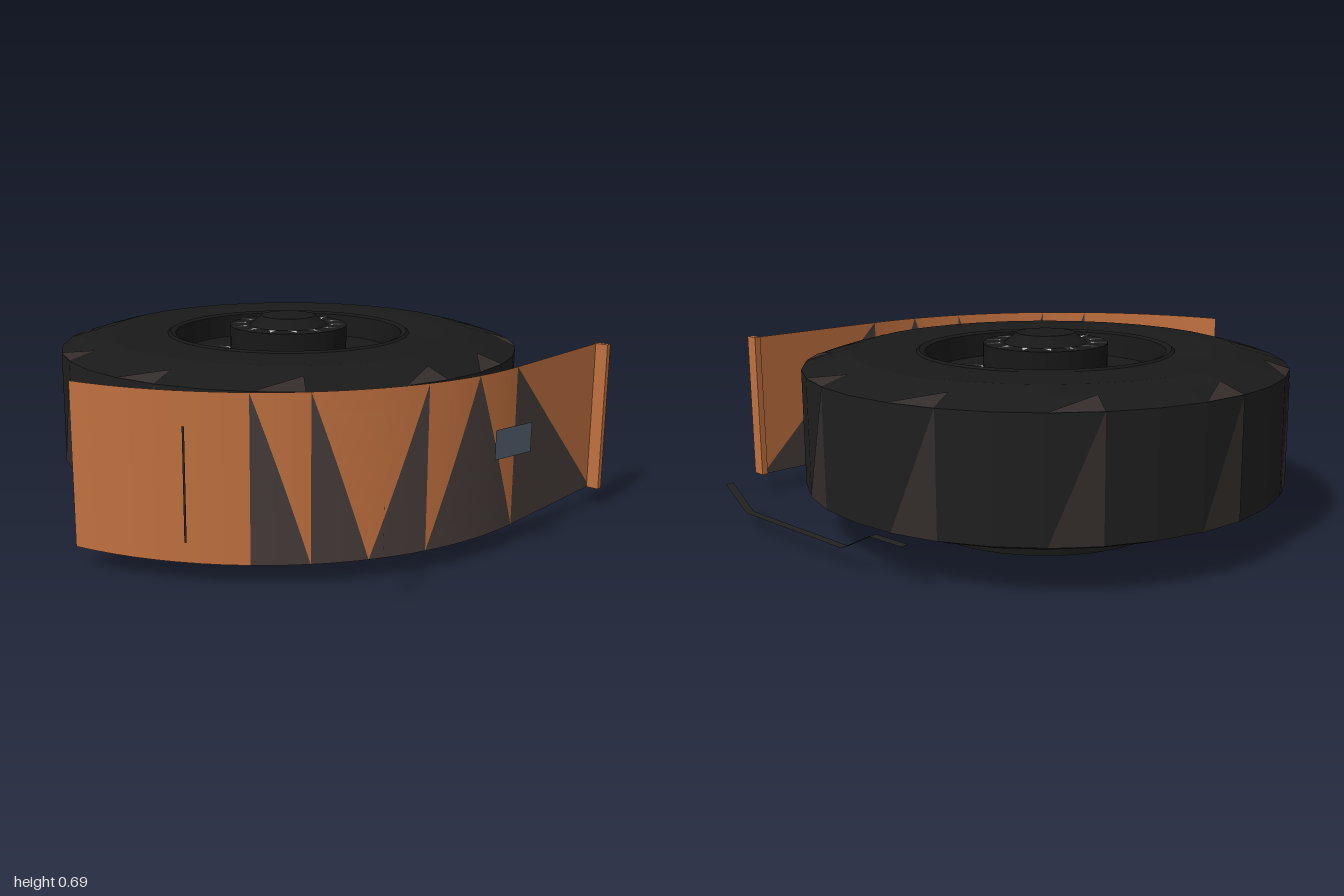
import * as THREE from 'three';

const material = (color, side = THREE.FrontSide) =>
  new THREE.MeshStandardMaterial({ color, side, flatShading: true });
const orange = material(0xc0703f, THREE.DoubleSide);
const brown = material(0x463c3a, THREE.DoubleSide);
const darkStrip = material(0x222222, THREE.DoubleSide);
const slate = material(0x4d5a66, THREE.DoubleSide);
const pale = material(0xc4c4c4, THREE.DoubleSide);
const worn = material(0x332c2a, THREE.DoubleSide);
const rubber = material(0x1a1a1a);
const tread = material(0x201f1f);
const metal = material(0x181818);

const CX = 0.11, CZ = -0.11; // wheel axis

function add(parent, name, geometry, mat) {
  const mesh = new THREE.Mesh(geometry, mat);
  mesh.name = name;
  parent.add(mesh);
  return mesh;
}

function triangles(points) {
  const g = new THREE.BufferGeometry().setFromPoints(points);
  g.computeVertexNormals();
  return g;
}

// Surface between two rows of points
function ribbon(a, b) {
  const out = [];
  for (let i = 0; i + 1 < a.length; i++) {
    out.push(a[i], b[i], b[i + 1], a[i], b[i + 1], a[i + 1]);
  }
  return triangles(out);
}

// Upright strip following a plan path of [x, z]
const wall = (path, y0, y1) => ribbon(
  path.map(([x, z]) => new THREE.Vector3(x, y1, z)),
  path.map(([x, z]) => new THREE.Vector3(x, y0, z)));

function turned(parent, name, profile, mat, segments = 32) {
  const pts = profile.map(([r, y]) => new THREE.Vector2(r, y));
  return add(parent, name, new THREE.LatheGeometry(pts, segments), mat);
}

// Point at radius r, angle t and height y about the wheel axis
const polar = (r, t, y) => new THREE.Vector3(r * Math.sin(t), y, r * Math.cos(t));

// Ring of flat triangular spikes pointing outwards
function spikes(count, r0, y0, r1, y1, half) {
  const pts = [];
  for (let i = 0; i < count; i++) {
    const t = (i + 0.3) / count * Math.PI * 2;
    pts.push(polar(r0, t - half, y0), polar(r0, t + half, y0), polar(r1, t + 0.06, y1));
  }
  return triangles(pts);
}

// Worn triangles on every third facet, between two rings of the tyre
function patches(r0, y0, r1, y1) {
  const pts = [], step = Math.PI / 16;
  for (let i = 0; i < 32; i += 3) {
    pts.push(polar(r0, i * step, y0), polar(r0, (i + 1) * step, y0), polar(r1, (i + 1) * step, y1));
  }
  return triangles(pts);
}

function buildWheel() {
  const wheel = new THREE.Group();
  wheel.name = 'wheel';
  wheel.position.set(CX, 0, CZ);

  turned(wheel, 'drum', [[0, 0], [0.457, 0], [0.457, 0.2]], metal, 28);
  turned(wheel, 'lowerSidewall',
    [[0.45, 0.138], [0.58, 0.13], [0.7, 0.125], [0.79, 0.14], [0.865, 0.17]], rubber);
  turned(wheel, 'tread', [[0.865, 0.17], [0.865, 0.58]], tread);
  turned(wheel, 'upperSidewall',
    [[0.865, 0.58], [0.77, 0.61], [0.695, 0.63], [0.6, 0.63], [0.465, 0.625]], rubber);
  add(wheel, 'treadPatches', patches(0.867, 0.17, 0.867, 0.58), worn);
  add(wheel, 'shoulderPatches', patches(0.866, 0.582, 0.771, 0.612), worn);

  turned(wheel, 'rim',
    [[0.465, 0.625], [0.455, 0.632], [0.435, 0.625], [0.425, 0.54], [0.33, 0.525], [0.2, 0.525]], metal);
  turned(wheel, 'hub',
    [[0.225, 0.52], [0.225, 0.65], [0.15, 0.65], [0.105, 0.686], [0, 0.686]], metal);
  add(wheel, 'rimSpikes', spikes(14, 0.226, 0.53, 0.33, 0.535, 0.12), pale);
  add(wheel, 'hubSpikes', spikes(14, 0.165, 0.653, 0.224, 0.653, 0.1), pale);
  return wheel;
}

// Fender plan curve: part of an ellipse, then straight on to the left end
function onFender(x, y) {
  const s = Math.min(x - CX, 0) / 1.13;
  return new THREE.Vector3(x, y, -0.2685 + 1.1685 * Math.sqrt(1 - s * s));
}

// Triangle of [x, y] corners, divided finely and bent onto the fender curve
function bentTriangle(a, b, c, n = 8) {
  const at = (i, j) => {
    const mix = k => a[k] + (b[k] - a[k]) * i / n + (c[k] - a[k]) * j / n;
    return onFender(mix(0), mix(1));
  };
  const out = [];
  for (let i = 0; i < n; i++) {
    for (let j = 0; i + j < n; j++) {
      out.push(at(i, j), at(i + 1, j), at(i, j + 1));
      if (i + j + 1 < n) out.push(at(i + 1, j), at(i + 1, j + 1), at(i, j + 1));
    }
  }
  return out;
}

function buildFender() {
  const fender = new THREE.Group();
  fender.name = 'fender';
  const LOW = 0.07, HIGH = 0.62;

  // Alternating light and dark triangular panels
  const tops = [-0.75, -0.62, -0.29, -0.09, 0.11, 0.685].map(x => [x, HIGH]);
  const bottoms = [-0.75, -0.62, -0.47, -0.29, 0.11, 0.685].map(x => [x, LOW]);
  const light = [], dark = [];
  for (let i = 0; i + 1 < tops.length; i++) {
    dark.push(...bentTriangle(tops[i], bottoms[i], bottoms[i + 1]));
    light.push(...bentTriangle(tops[i], bottoms[i + 1], tops[i + 1]));
  }
  add(fender, 'fenderLightPanels', triangles(light), orange);
  add(fender, 'fenderDarkPanels', triangles(dark), brown);

  // Plain end panel, with finer steps where the curve is steep
  const ends = [-1, -0.985, -0.965, -0.94, -0.91, -0.88, -0.84, -0.8, -0.75];
  add(fender, 'fenderEndPanel',
    ribbon(ends.map(x => onFender(x, HIGH)), ends.map(x => onFender(x, LOW))), orange);

  // Lip turned forwards at the straight end
  add(fender, 'fenderLip', new THREE.BoxGeometry(0.024, 0.55, 0.052), orange)
    .position.set(0.678, 0.345, 0.92);

  // Slanted plate on the front
  add(fender, 'plate', wall([[-0.087, 0.945], [0.083, 0.977]], 0.35, 0.45), slate);

  // Pair of outward bars and an upright strip
  for (const y of [0.18, 0.275]) {
    add(fender, 'bar', wall([[-0.62, 0.9], [-0.475, 0.795]], y - 0.012, y + 0.012), orange);
  }
  add(fender, 'uprightStrip', wall([[-0.892, 0.345], [-0.892, 0.355]], 0.15, 0.52), darkStrip);
  return fender;
}

export function createModel() {
  const model = new THREE.Group();
  model.name = 'wheelAndFender';
  model.add(buildWheel(), buildFender());

  // Stepped strip beside the wheel
  const path = [[-0.38, 0.16], [-0.22, 0.155], [-0.07, 0.08], [0.5, 0.07], [0.63, 0.15]];
  const row = x => path.map(([z, y]) => new THREE.Vector3(x, y, z));
  add(model, 'sideStrip', ribbon(row(0.97), row(1)), darkStrip);
  return model;
}
